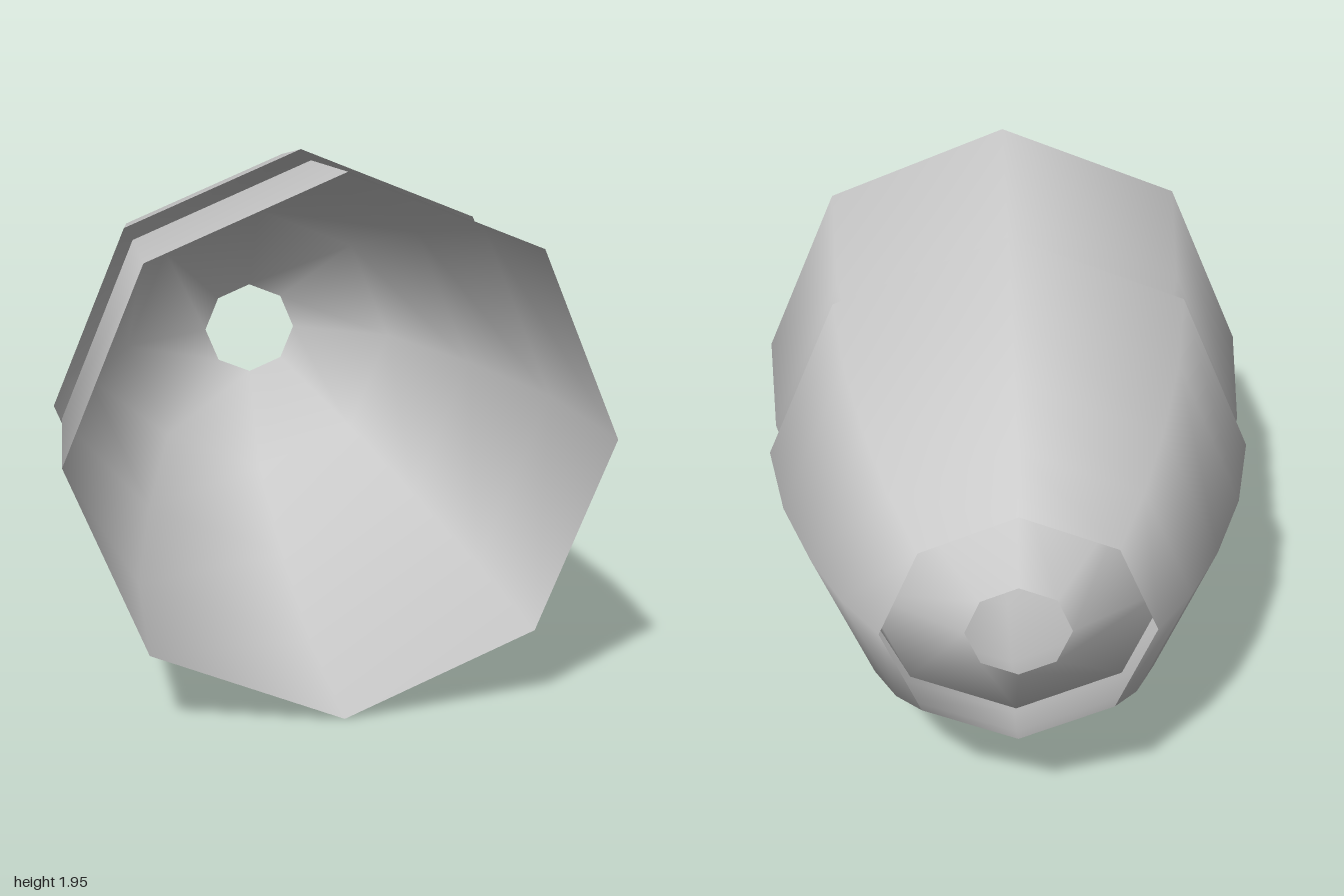
import * as THREE from 'three';

const RADIUS = 0.975;
const SIDES = 8;

// Open eight-sided shell around the z axis; profile is [z, radius] from back to front
function shell(name, profile, material) {
  const points = profile.map(([z, r]) => new THREE.Vector2(r, z));
  const geometry = new THREE.LatheGeometry(points, SIDES);
  geometry.rotateX(Math.PI / 2);
  const mesh = new THREE.Mesh(geometry, material);
  mesh.name = name;
  mesh.position.y = RADIUS;
  return mesh;
}

export function createModel() {
  const group = new THREE.Group();
  group.name = 'nozzle';
  const material = new THREE.MeshStandardMaterial({ color: 0xcccccc, side: THREE.DoubleSide });

  // Long inner duct, narrowing to a small hole at the back
  group.add(shell('innerDuct', [
    [-1, 0.19], [-0.755, 0.55], [-0.22, 0.76], [0.36, 0.92], [1, RADIUS],
  ], material));

  // Shorter outer cowl, open at both ends
  group.add(shell('outerCowl', [
    [-1, 0.488], [-0.8, 0.625], [-0.55, 0.745], [-0.22, 0.86], [0.165, 0.933],
  ], material));

  return group;
}
